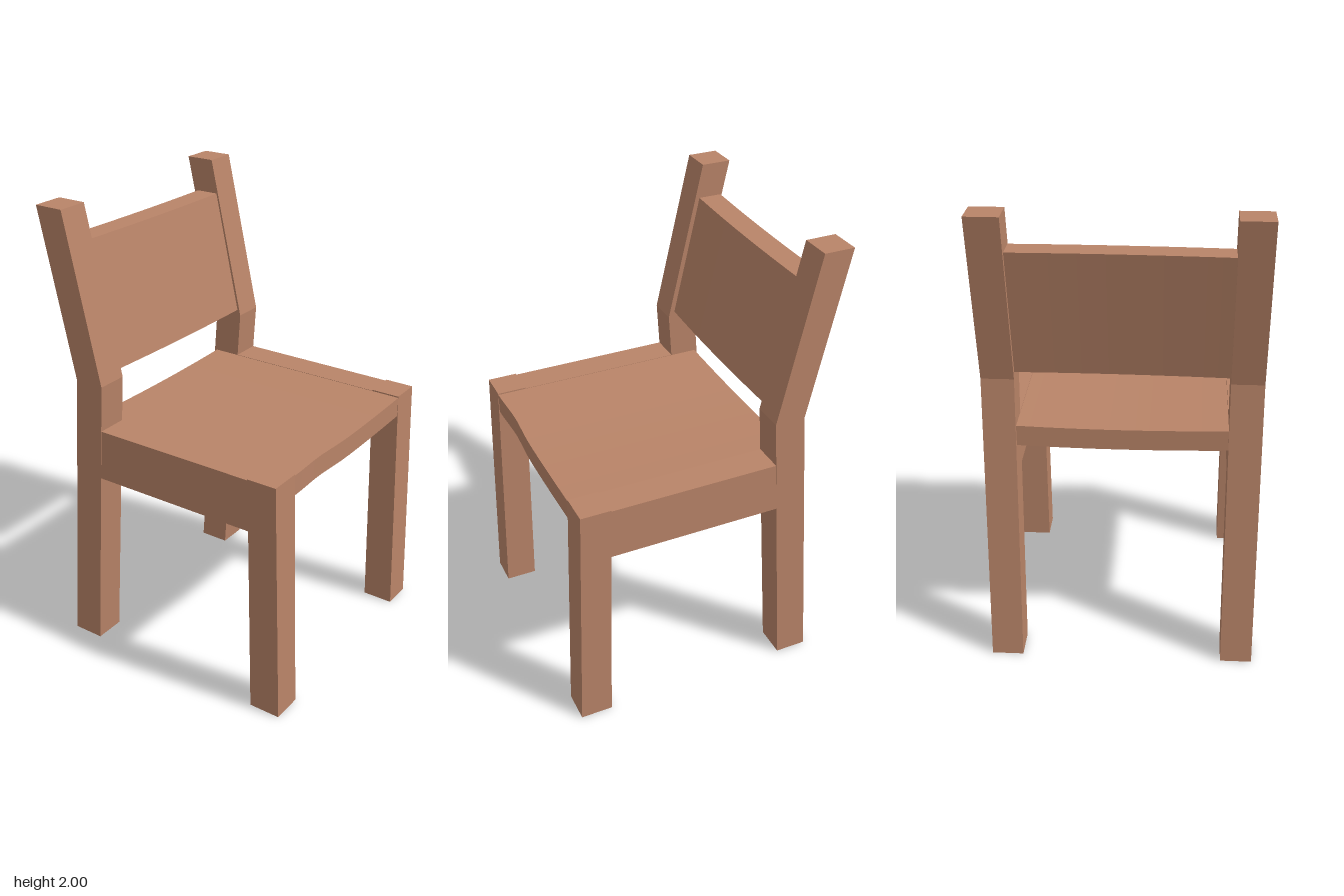
import * as THREE from 'three';

const wood = new THREE.MeshStandardMaterial({ color: 0xb98468, flatShading: true });
const INNER = 0.432, OUTER = 0.567;

// Side profile in x and y, extruded from z0 to z1
function slab(name, points, z0, z1, steps = 1) {
  const shape = new THREE.Shape(points.map(([x, y]) => new THREE.Vector2(x, y)));
  const geometry = new THREE.ExtrudeGeometry(shape, { depth: z1 - z0, bevelEnabled: false, steps });
  geometry.translate(0, 0, z0);
  const mesh = new THREE.Mesh(geometry, wood);
  mesh.name = name;
  return mesh;
}

// Shift every vertex by a rule that depends on its z
function bend(mesh, rule) {
  const p = mesh.geometry.attributes.position;
  for (let i = 0; i < p.count; i++) {
    const [dx, dy] = rule(p.getX(i), p.getZ(i));
    p.setXY(i, p.getX(i) + dx, p.getY(i) + dy);
  }
  mesh.geometry.computeVertexNormals();
  return mesh;
}

export function createModel() {
  const chair = new THREE.Group();
  chair.name = 'chair';

  // Legs and side rails, one set per side
  const backLeg = [[-0.535, 0], [-0.395, 0], [-0.298, 1.285], [-0.455, 2], [-0.585, 2], [-0.43, 1.285]];
  const frontLeg = [[0.44, 0], [0.58, 0], [0.55, 1.085], [0.42, 1.085], [0.425, 0.85]];
  const rail = [[-0.35, 0.853], [0.43, 0.853], [0.43, 1.08], [-0.33, 1.08]];
  for (const side of [-1, 1]) {
    const z0 = side > 0 ? INNER : -OUTER, z1 = side > 0 ? OUTER : -INNER;
    const label = side > 0 ? 'Right' : 'Left';
    chair.add(
      slab('backLeg' + label, backLeg, z0, z1),
      slab('frontLeg' + label, frontLeg, z0, z1),
      slab('sideRail' + label, rail, z0 + 0.001, z1 - 0.001)
    );
  }

  // Seat board, dished a little in the middle, with a slightly wavy front edge
  const seat = slab('seat', [[-0.435, 0.99], [0.547, 0.99], [0.547, 1.079], [-0.435, 1.079]], -INNER, INNER, 16);
  chair.add(bend(seat, (x, z) => {
    const dip = 1 - (z / INNER) ** 2;
    const wave = x > 0 ? 0.003 - 0.01 * Math.exp(-(((z - 0.23) / 0.13) ** 2)) : 0;
    return [wave, -0.008 * dip];
  }));

  // Backrest panel, tilted with the posts and bowed forward
  const back = slab('backrest', [[-0.42, 1.31], [-0.32, 1.31], [-0.436, 1.85], [-0.54, 1.85]], -INNER, INNER, 16);
  chair.add(bend(back, (x, z) => [0.008 * (1 - (z / INNER) ** 2) - 0.006 * z / INNER, 0]));

  return chair;
}
